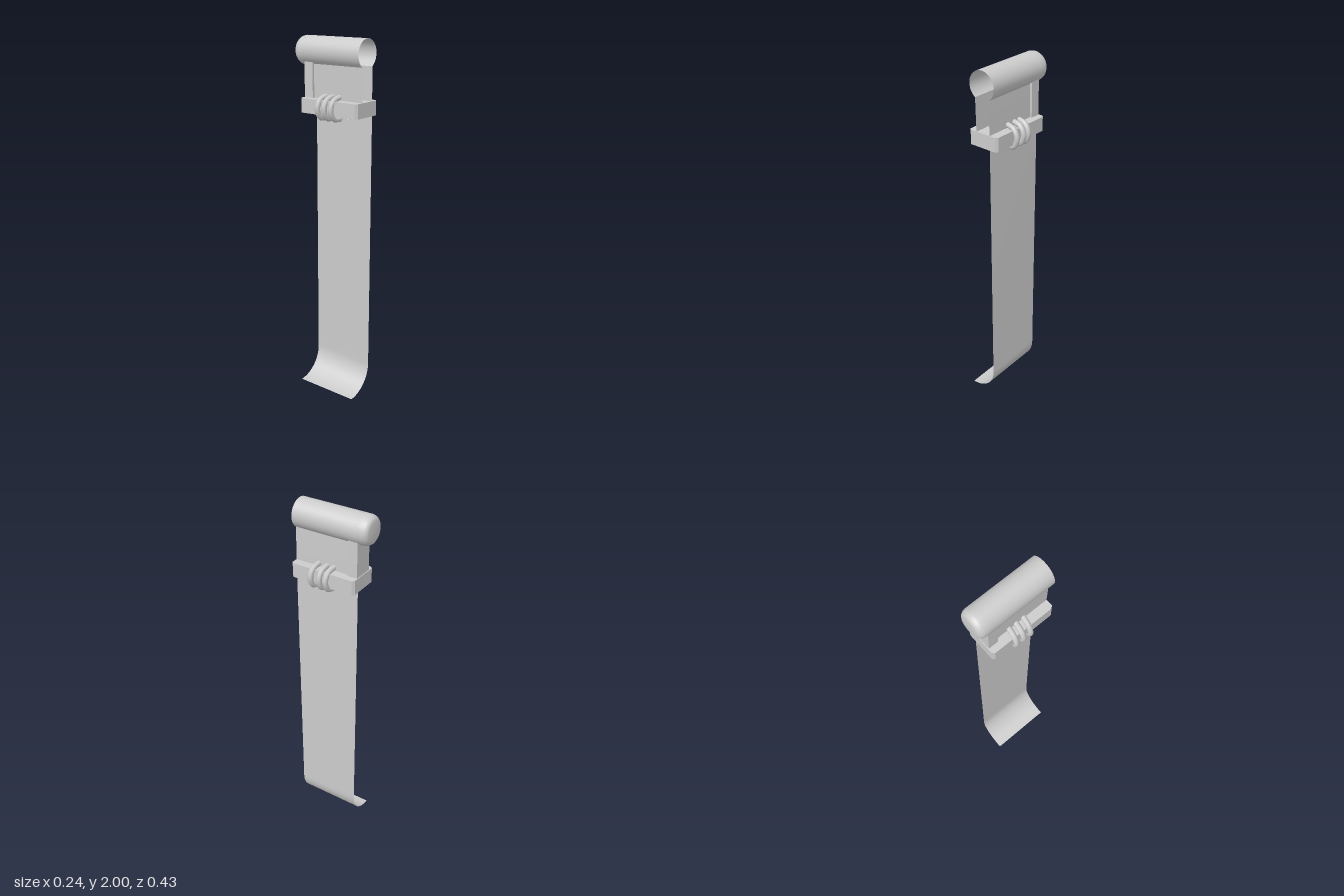
import * as THREE from 'three';

const FRONT = 0.215, BACK = -0.155;   // z extent of the cloth
const SHEET_X = 0.043;                // cloth layers sit either side of the post
const R = 0.0775, TUBE_X = -0.004, TUBE_Y = 1.9225;

const solid = new THREE.MeshStandardMaterial({ color: 0xcccccc });
const thin = new THREE.MeshStandardMaterial({ color: 0xcccccc, side: THREE.DoubleSide });

export function createModel() {
  const model = new THREE.Group();

  function add(name, geometry, material = solid) {
    const mesh = new THREE.Mesh(geometry, material);
    mesh.name = name;
    model.add(mesh);
    return mesh;
  }

  // Thin sheet: a line of [x, y] points drawn out along z
  function sheet(points) {
    const n = points.length - 1;
    const g = new THREE.PlaneGeometry(1, 1, n, 1);
    const p = g.attributes.position;
    for (let i = 0; i < p.count; i++) {
      const [x, y] = points[i % (n + 1)];
      p.setXYZ(i, x, y, i > n ? BACK : FRONT);
    }
    g.computeVertexNormals();
    return g;
  }

  // Points along an arc, angles measured from +x
  function arc(cx, cy, r, from, to, n) {
    return Array.from({ length: n + 1 }, (_, i) => {
      const a = from + (to - from) * i / n;
      return [cx + r * Math.cos(a), cy + r * Math.sin(a)];
    });
  }

  // Sleeve round the top, open underneath between the two cloth layers
  const gap = Math.acos(SHEET_X / R);
  add('sleeve', sheet(arc(TUBE_X, TUBE_Y, R, -gap, Math.PI + gap, 32)), thin);

  // Closed, rounded rear end of the sleeve
  const cap = [[R, -BACK], [R, 0.18], [0.074, 0.194], [0.066, 0.206], [0.053, 0.214], [0, 0.215]]
    .map(([x, y]) => new THREE.Vector2(x, y));
  const capGeometry = new THREE.LatheGeometry(cap, 32).rotateX(-Math.PI / 2);
  add('sleeveEnd', capGeometry, thin).position.set(TUBE_X, TUBE_Y, 0);

  // Short cloth layer on one side, long hanging one on the other
  const join = TUBE_Y - R * Math.sin(gap);
  add('shortFlap', sheet([[-SHEET_X + TUBE_X, join], [-SHEET_X, 1.64]]), thin);
  const curl = 0.16;
  add('hangingCloth', sheet([
    [SHEET_X + TUBE_X, join], [SHEET_X, 1.64], [SHEET_X, 0.5], [SHEET_X, curl + 0.03],
    ...arc(SHEET_X - curl, curl, curl, 0, -Math.PI / 2, 14),
  ]), thin);

  // Post at the rear, reaching up inside the sleeve
  add('post', new THREE.BoxGeometry(0.112, 0.26, 0.055)).position.set(-0.002, 1.77, -0.1275);

  // Crossbar with chamfered upright corners
  const w = 0.092, l = 0.187, c = 0.012;
  const plan = new THREE.Shape([
    [-w + c, -l], [w - c, -l], [w, -l + c], [w, l - c],
    [w - c, l], [-w + c, l], [-w, l - c], [-w, -l + c],
  ].map(([x, y]) => new THREE.Vector2(x, y)));
  const bar = new THREE.ExtrudeGeometry(plan, { depth: 0.078, bevelEnabled: false });
  add('crossbar', bar.rotateX(-Math.PI / 2)).position.set(-0.002, 1.602, 0.028);

  // Rope turns lashed over the crossbar, ends tucked beneath it
  const profile = [
    [-0.035, 1.583], [-0.085, 1.588], [-0.108, 1.63], [-0.092, 1.678], [-0.04, 1.696],
    [0.04, 1.696], [0.09, 1.682], [0.109, 1.64], [0.088, 1.592], [0.022, 1.583],
  ];
  const turns = [[-0.028, -0.004], [0.016, 0.033], [0.06, 0.085]];   // z at -x side, z at +x side
  const binding = new THREE.Group();
  binding.name = 'ropeBinding';
  model.add(binding);
  turns.forEach(([zRight, zLeft], i) => {
    const path = new THREE.CatmullRomCurve3(profile.map(([x, y]) => new THREE.Vector3(
      x, y, THREE.MathUtils.mapLinear(x, -0.108, 0.109, zRight, zLeft))));
    const turn = new THREE.Mesh(new THREE.TubeGeometry(path, 32, 0.0145, 8), thin);
    turn.name = 'ropeTurn' + (i + 1);
    binding.add(turn);
  });

  return model;
}
